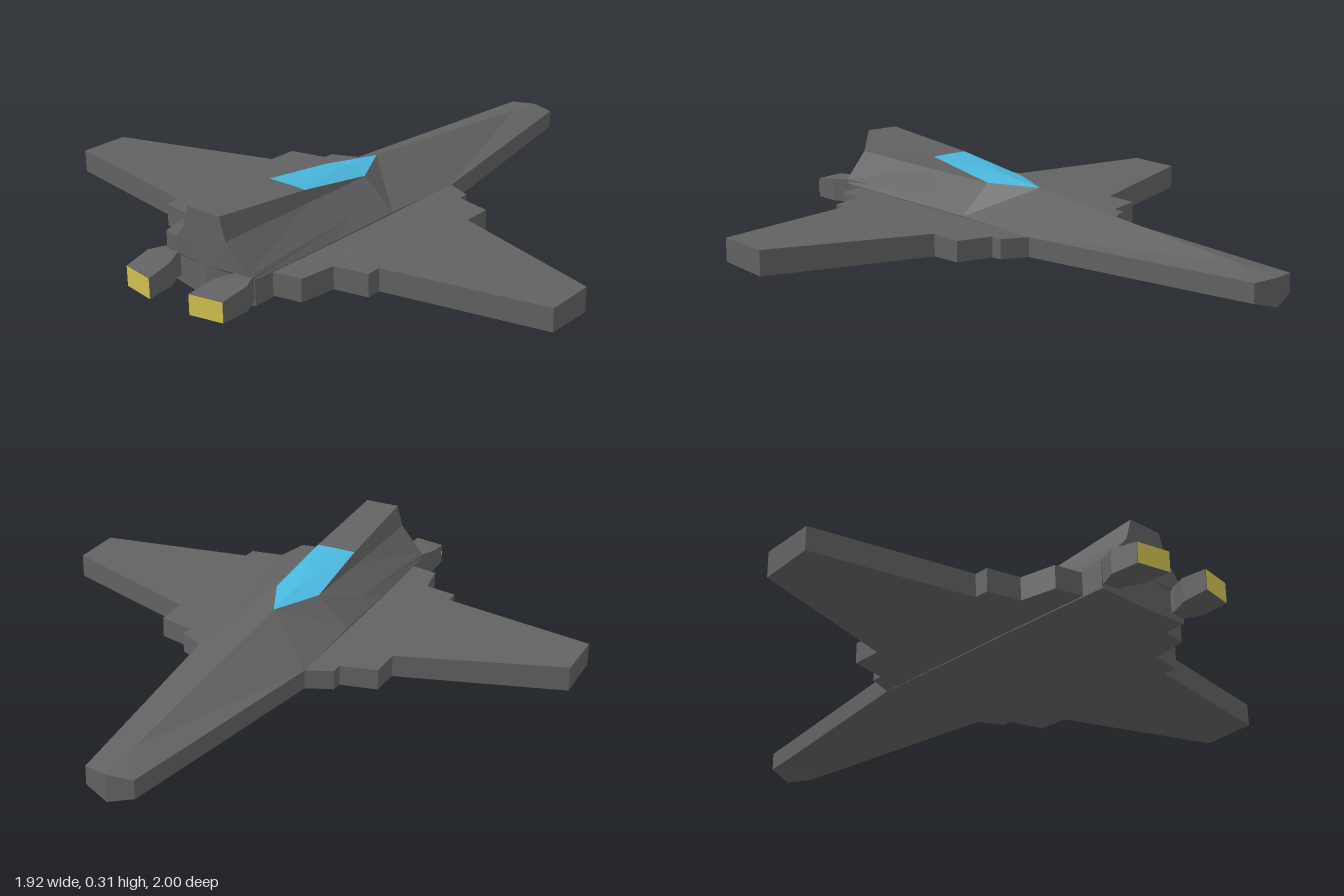
import * as THREE from 'three';

const mat = (name, color, side = THREE.FrontSide) => {
  const m = new THREE.MeshStandardMaterial({ color, side });
  m.name = name;
  return m;
};

// Half cross-sections, nose to tail: ridge, shoulder, mid, low, edge top, edge bottom, keel
const noseEdge = [0.085, 0.087, -0.98], noseRidge = [0, 0.108, -0.85];
const canopyTip = [0, 0.21, 0], canopySide = [0.082, 0.214, 0.17];
const sections = [
  [[0, 0.092, -1], noseEdge, noseEdge, noseEdge, noseEdge, [0.085, 0.024, -0.98], [0, 0, -1]],
  [noseRidge, noseRidge, noseRidge, noseRidge, [0.103, 0.089, -0.85], [0.103, 0.025, -0.85], [0, 0.002, -0.85]],
  [canopyTip, canopyTip, canopyTip, canopyTip, [0.2, 0.1, -0.155], [0.2, 0.034, -0.155], [0, 0.011, -0.155]],
  [[0, 0.23, 0.17], canopySide, canopySide, canopySide, [0.194, 0.115, 0.17], [0.194, 0.037, 0.17], [0, 0.016, 0.17]],
  [[0, 0.265, 0.46], [0.073, 0.264, 0.46], [0.084, 0.222, 0.46], [0.162, 0.155, 0.35],
    [0.189, 0.122, 0.46], [0.189, 0.041, 0.46], [0, 0.02, 0.46]],
  [[0, 0.31, 0.84], [0.063, 0.31, 0.84], [0.085, 0.235, 0.84], [0.168, 0.145, 0.835],
    [0.178, 0.13, 0.82], [0.178, 0.045, 0.82], [0, 0.025, 0.84]],
];

const wingOutline = [
  [0.17, -0.14], [0.2, -0.155], [0.288, -0.115], [0.288, -0.077], [0.413, -0.047], [0.413, 0.062],
  [0.96, 0.247], [0.96, 0.43], [0.413, 0.53], [0.413, 0.58], [0.298, 0.602], [0.275, 0.725], [0.17, 0.745],
];
const engineOutline = [
  [0.12, 0.7], [0.17, 0.7], [0.175, 0.825], [0.2, 0.88], [0.193, 0.975], [0.08, 0.996], [0.088, 0.9], [0.115, 0.84],
];

// Flat-shaded geometry from triangles, skipping collapsed ones
function facets(tris) {
  const kept = tris.filter(([a, b, c]) => a !== b && b !== c && a !== c);
  const g = new THREE.BufferGeometry();
  g.setAttribute('position', new THREE.Float32BufferAttribute(kept.flat(2), 3));
  g.computeVertexNormals();
  return g;
}

// Upright slab from a plan outline, with bottom and top heights given by z
function slab(outline, side, bottom, top) {
  const shape = new THREE.Shape(outline.map(([x, z]) => new THREE.Vector2(x * side, z)));
  const g = new THREE.ExtrudeGeometry(shape, { depth: 1, bevelEnabled: false });
  g.rotateX(Math.PI / 2);
  const p = g.attributes.position;
  for (let i = 0; i < p.count; i++) {
    p.setY(i, p.getY(i) > -0.5 ? top(p.getZ(i)) : bottom(p.getZ(i)));
  }
  const flat = g.toNonIndexed();
  flat.computeVertexNormals();
  return flat;
}

const ramp = (z, z0, z1, y0, y1) => THREE.MathUtils.lerp(y0, y1, THREE.MathUtils.clamp((z - z0) / (z1 - z0), 0, 1));

export function createModel() {
  const group = new THREE.Group();
  const hull = mat('hull grey', 0x626262);
  const glass = mat('canopy blue', 0x4ab6dc);
  const glow = mat('exhaust yellow', 0xd2c252, THREE.DoubleSide);
  const add = (name, geometry, material) => {
    const mesh = new THREE.Mesh(geometry, material);
    mesh.name = name;
    group.add(mesh);
  };

  for (const side of [1, -1]) {
    const label = side > 0 ? 'left' : 'right';
    // Mirroring also reverses the corner order
    const rings = sections.map(ring => {
      const seen = new Map();
      return ring.map(p => {
        if (!seen.has(p)) seen.set(p, [p[0] * side, p[1], p[2]]);
        return seen.get(p);
      });
    });
    const body = [], canopy = [];
    const put = (list, a, b, c) => list.push(side > 0 ? [a, b, c] : [a, c, b]);
    const same = (a, b) => a.every((v, i) => v === b[i]);
    const face = (list, a, b, c) => {
      if (!same(a, b) && !same(b, c) && !same(a, c)) put(list, a, b, c);
    };

    // Fuselage skin, with the canopy on the ridge
    for (let i = 0; i < rings.length - 1; i++) {
      for (let j = 0; j < 6; j++) {
        const list = j === 0 && (i === 2 || i === 3) ? canopy : body;
        const a = rings[i][j], b = rings[i][j + 1], c = rings[i + 1][j + 1], d = rings[i + 1][j];
        face(list, a, d, c);
        face(list, a, c, b);
      }
    }
    // Nose and tail ends
    const nose = rings[0], tail = rings[rings.length - 1];
    const tailCentre = [0, 0.13, 0.84];
    for (let j = 0; j < 6; j++) {
      face(body, nose[0], nose[j], nose[j + 1]);
      face(body, tailCentre, tail[j + 1], tail[j]);
    }
    add(label + 'Fuselage', facets(body), hull);
    add(label + 'Canopy', facets(canopy), glass);

    // Stepped wing
    add(label + 'Wing', slab(wingOutline, side,
      z => ramp(z, 0.3, 0.43, 0.035, 0.048), z => ramp(z, -0.155, 0.4, 0.1, 0.126)), hull);

    // Engine and its glowing exhaust
    add(label + 'Engine', slab(engineOutline, side,
      () => 0.06, z => ramp(z, 0.88, 0.98, 0.142, 0.128)), hull);
    const [o, n] = [engineOutline[4], engineOutline[5]];
    const corner = ([x, z], y) => [x * side, y, z + 0.002];
    const [a, b, c, d] = [corner(n, 0.06), corner(o, 0.06), corner(o, 0.128), corner(n, 0.128)];
    const exhaust = [];
    put(exhaust, a, b, c);
    put(exhaust, a, c, d);
    add(label + 'Exhaust', facets(exhaust), glow);
  }
  return group;
}
